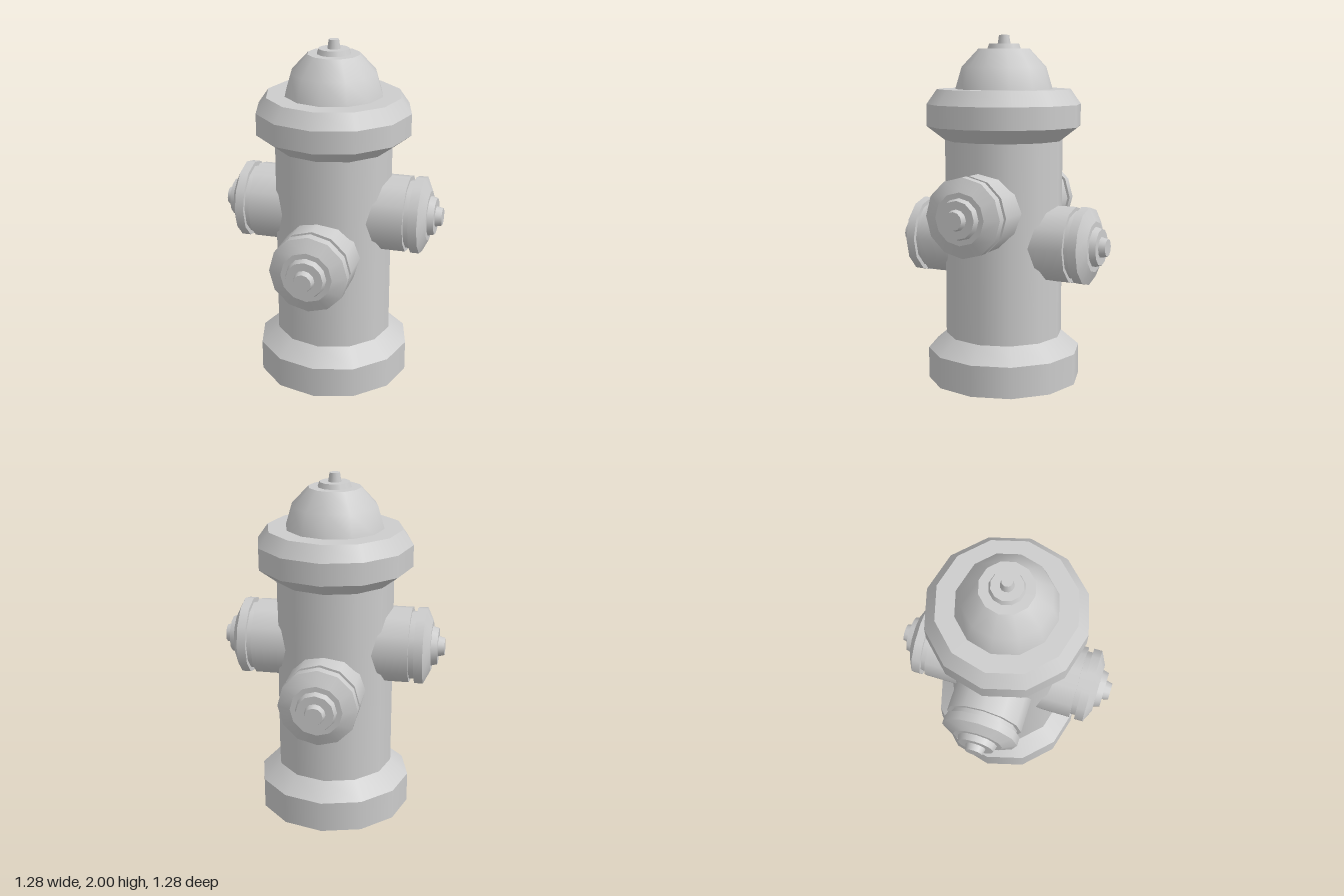
import * as THREE from 'three';
import { mergeGeometries } from 'three/addons/utils/BufferGeometryUtils.js';

const SIDES = 12;

// Revolve each strip of [radius, height] points: smooth within a strip, sharp between strips
function turned(strips) {
  return mergeGeometries(strips.map((strip) =>
    new THREE.LatheGeometry(strip.map(([r, y]) => new THREE.Vector2(r, y)), SIDES)));
}

// Turn a list of points into strips of one segment each
const bands = (points) => points.slice(1).map((p, i) => [points[i], p]);

export function createModel() {
  const group = new THREE.Group();
  const castIron = new THREE.MeshStandardMaterial({ color: 0xcccccc });
  castIron.name = 'castIron';

  function add(name, strips) {
    const mesh = new THREE.Mesh(turned(strips), castIron);
    mesh.name = name;
    group.add(mesh);
    return mesh;
  }

  // Foot flange and barrel
  add('base', bands([[0, 0], [0.445, 0], [0.445, 0.18], [0.34, 0.27]]));
  add('barrel', bands([[0.34, 0.27], [0.34, 1.405]]));

  // Wide collar under the bonnet
  add('collar', bands([[0.34, 1.405], [0.445, 1.485], [0.445, 1.61], [0.385, 1.695], [0.28, 1.695]]));

  // Rounded bonnet with its top nut
  add('bonnet', [
    [[0.28, 1.695], [0.243, 1.82], [0.148, 1.922]],
    [[0.148, 1.922], [0, 1.922]],
  ]);
  add('topNut', bands([[0.096, 1.922], [0.086, 1.95], [0.037, 1.95], [0.029, 2], [0, 2]]));

  // Four capped outlets: the side pair sits higher than the front and back pair
  const outletProfile = bands([
    [0.22, 0.2], [0.22, 0.448], [0.197, 0.448], [0.197, 0.48], [0.222, 0.48], [0.222, 0.53],
    [0.145, 0.567], [0.115, 0.567], [0.105, 0.603], [0.059, 0.603], [0.05, 0.64], [0, 0.64],
  ]);
  ['frontOutlet', 'leftOutlet', 'backOutlet', 'rightOutlet'].forEach((name, i) => {
    const outlet = add(name, outletProfile);
    outlet.rotation.set(Math.PI / 2, i * Math.PI / 2, 0, 'YXZ');
    outlet.position.y = i % 2 ? 1.02 : 0.82;
  });

  return group;
}
